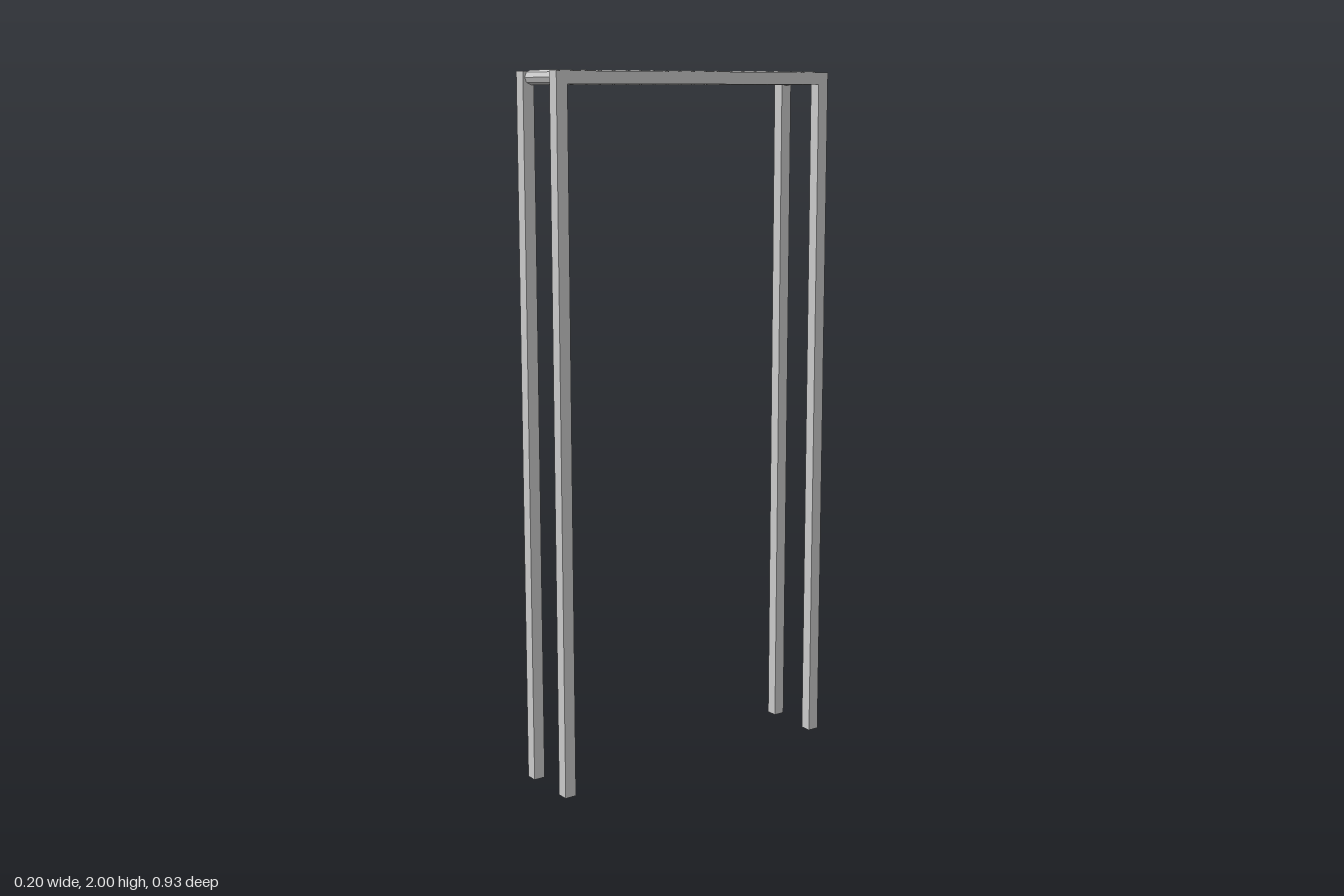
import * as THREE from 'three';

export function createModel() {
  const model = new THREE.Group();
  model.name = 'rollerConveyor';
  const material = new THREE.MeshStandardMaterial({ color: 0xcccccc, flatShading: true });

  const halfWidth = 0.1, halfLength = 0.463, bar = 0.034;
  const frameTop = 1.997, railX = halfWidth - bar / 2, legZ = halfLength - bar / 2;

  function add(geometry, name, x, y, z) {
    const mesh = new THREE.Mesh(geometry, material);
    mesh.name = name;
    mesh.position.set(x, y, z);
    model.add(mesh);
    return mesh;
  }

  // Four square legs and two side rails
  const legGeometry = new THREE.BoxGeometry(bar, frameTop, bar);
  const railGeometry = new THREE.BoxGeometry(bar, bar, 2 * (halfLength - bar));
  for (const [side, sx] of [['left', 1], ['right', -1]]) {
    add(railGeometry, side + 'Rail', sx * railX, frameTop - bar / 2, 0);
    for (const [end, sz] of [['Front', 1], ['Back', -1]]) {
      add(legGeometry, side + end + 'Leg', sx * railX, frameTop / 2, sz * legZ);
    }
  }

  // Row of eight-sided rollers between the rails, with thin gaps
  const count = 21, pitch = 0.0438, radius = 0.0195;
  const rollerGeometry = new THREE.CylinderGeometry(radius, radius, 0.138, 8);
  rollerGeometry.rotateZ(Math.PI / 2);
  for (let i = 0; i < count; i++) {
    add(rollerGeometry, 'roller' + (i + 1), 0, 2 - radius, (i - (count - 1) / 2) * pitch);
  }
  return model;
}
